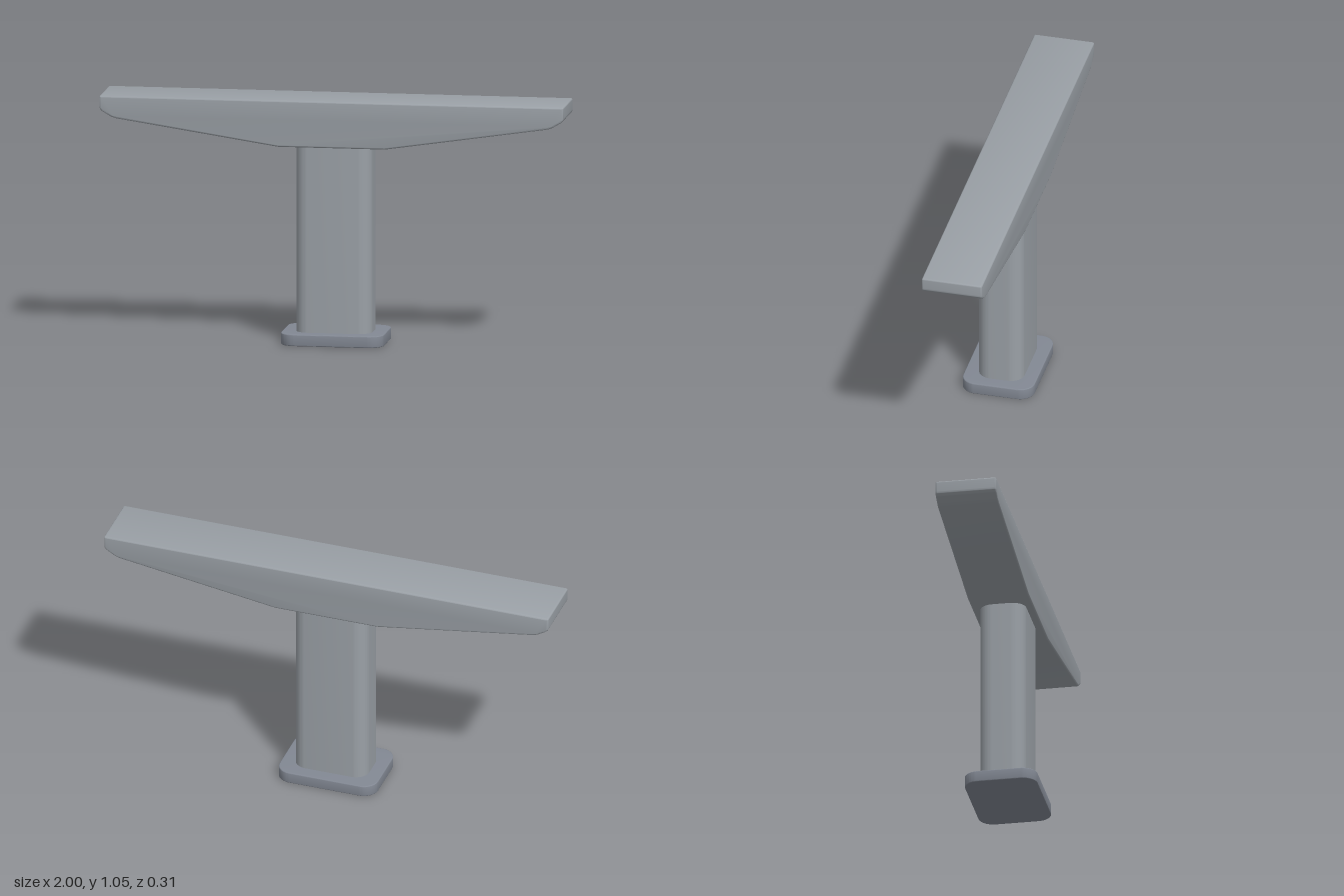
import * as THREE from 'three';
import { toCreasedNormals } from 'three/addons/utils/BufferGeometryUtils.js';

// Rectangle with rounded corners, centred on the origin
function roundedRect(w, d, r) {
  const x = w / 2, y = d / 2, s = new THREE.Shape();
  s.moveTo(x, -y + r);
  s.lineTo(x, y - r);
  s.absarc(x - r, y - r, r, 0, Math.PI / 2);
  s.lineTo(-x + r, y);
  s.absarc(-x + r, y - r, r, Math.PI / 2, Math.PI);
  s.lineTo(-x, -y + r);
  s.absarc(-x + r, -y + r, r, Math.PI, Math.PI * 1.5);
  s.lineTo(x - r, -y);
  s.absarc(x - r, -y + r, r, Math.PI * 1.5, Math.PI * 2);
  return s;
}

// Extrusion of total length `depth` along z, from z = 0, with softened ends
function extrude(shape, depth, bevel) {
  const geometry = new THREE.ExtrudeGeometry(shape, {
    depth: depth - 2 * bevel,
    bevelEnabled: bevel > 0,
    bevelThickness: bevel,
    bevelSize: bevel,
    bevelOffset: -bevel,
    bevelSegments: 4,
    curveSegments: 8,
  });
  geometry.translate(0, 0, bevel);
  return toCreasedNormals(geometry, 0.42);
}

export function createModel() {
  const group = new THREE.Group();
  const concrete = new THREE.MeshStandardMaterial({ color: 0x9aa0a6 });
  concrete.name = 'concrete';
  const footing = new THREE.MeshStandardMaterial({ color: 0x828893 });
  footing.name = 'footing concrete';

  const add = (name, geometry, material) => {
    const mesh = new THREE.Mesh(geometry, material);
    mesh.name = name;
    group.add(mesh);
    return mesh;
  };

  // Base slab and column stand upright
  const base = extrude(roundedRect(0.444, 0.314, 0.065), 0.05, 0.004);
  base.rotateX(-Math.PI / 2);
  add('baseSlab', base, footing);

  const column = extrude(roundedRect(0.328, 0.198, 0.06), 0.83, 0);
  column.rotateX(-Math.PI / 2);
  column.translate(0, 0.04, 0);
  add('column', column, concrete);

  // Crossbeam: flat top, underside tapering to rounded tips
  const beam = new THREE.Shape();
  beam.moveTo(-0.23, 0.854);
  beam.lineTo(0.23, 0.854);
  beam.lineTo(0.925, 0.958);
  beam.quadraticCurveTo(0.945, 0.962, 0.96, 0.971);
  beam.lineTo(0.985, 0.986);
  beam.quadraticCurveTo(1, 0.995, 1, 1.008);
  beam.lineTo(1, 1.047);
  beam.quadraticCurveTo(1, 1.055, 0.992, 1.055);
  beam.lineTo(-0.992, 1.055);
  beam.quadraticCurveTo(-1, 1.055, -1, 1.047);
  beam.lineTo(-1, 1.008);
  beam.quadraticCurveTo(-1, 0.995, -0.985, 0.986);
  beam.lineTo(-0.96, 0.971);
  beam.quadraticCurveTo(-0.945, 0.962, -0.925, 0.958);
  beam.lineTo(-0.23, 0.854);
  const crossbeam = extrude(beam, 0.264, 0.008);
  crossbeam.translate(0, 0, -0.132);
  add('crossbeam', crossbeam, concrete);

  return group;
}
